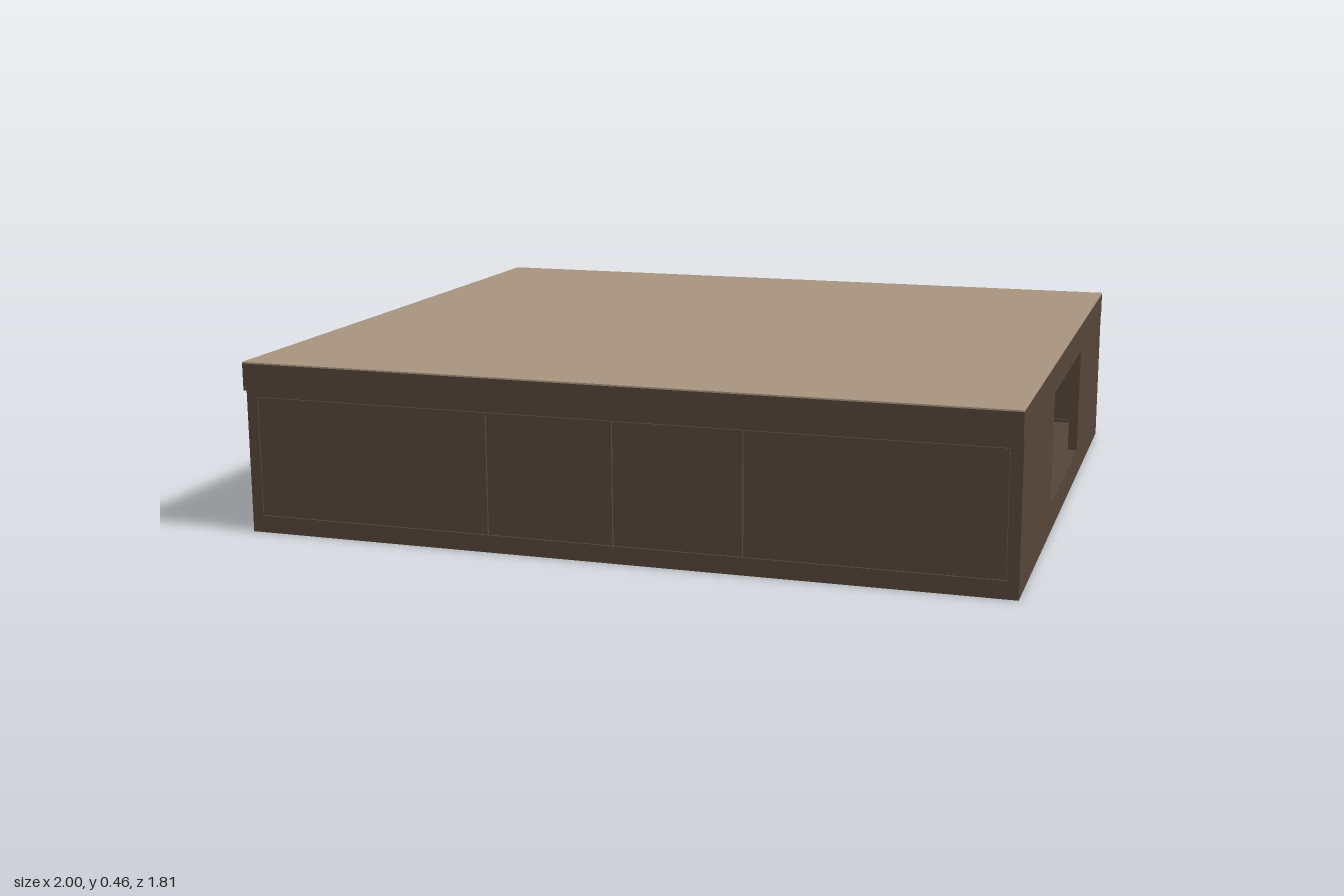
import * as THREE from 'three';

const wood = new THREE.MeshStandardMaterial({ color: 0x554538 });
wood.name = 'darkWood';
const topWood = new THREE.MeshStandardMaterial({ color: 0xa8947e });
topWood.name = 'paleTop';

const WALL = 0.026;      // board thickness
const BODY_H = 0.38;     // height of the carcass
const BODY_Z = 0.892;    // half depth of the carcass
const TOP_Z = 0.907;     // half depth of the tabletop

function box(name, w, h, d, x, y, z, material = wood) {
  const mesh = new THREE.Mesh(new THREE.BoxGeometry(w, h, d), material);
  mesh.name = name;
  mesh.position.set(x, y, z);
  return mesh;
}

function rectangle(path, x0, y0, x1, y1) {
  path.moveTo(x0, y0);
  path.lineTo(x1, y0);
  path.lineTo(x1, y1);
  path.lineTo(x0, y1);
  path.closePath();
  return path;
}

// Upright board with rectangular openings, centred on its thickness
function board(name, halfWidth, openings) {
  const shape = rectangle(new THREE.Shape(), -halfWidth, 0, halfWidth, BODY_H);
  for (const o of openings) shape.holes.push(rectangle(new THREE.Path(), ...o));
  const geometry = new THREE.ExtrudeGeometry(shape, { depth: WALL, bevelEnabled: false });
  geometry.translate(0, 0, -WALL / 2);
  const mesh = new THREE.Mesh(geometry, wood);
  mesh.name = name;
  return mesh;
}

export function createModel() {
  const model = new THREE.Group();
  model.name = 'lowTable';

  // Tabletop slab with its pale upper face
  model.add(box('tabletop', 2, 0.071, TOP_Z * 2, 0, BODY_H + 0.0355, 0));
  model.add(box('tabletopSurface', 2, 0.004, TOP_Z * 2, 0, BODY_H + 0.073, 0, topWood));

  // Long sides, each with four flush fronts separated by fine seams
  const fronts = [[-0.97, -0.333], [-0.333, 0], [0, 0.333], [0.333, 0.97]];
  const y0 = 0.045, y1 = 0.362, gap = 0.0015;
  for (const side of [1, -1]) {
    const z = side * (BODY_Z - WALL / 2);
    const group = new THREE.Group();
    group.name = side > 0 ? 'frontSide' : 'backSide';
    group.add(board('sideFrame', 1, [[-0.97, y0, 0.97, y1]]));
    for (const [a, b] of fronts) {
      group.add(box('drawerFront', b - a - gap * 2, y1 - y0 - gap * 2, WALL - 0.002,
        (a + b) / 2, (y0 + y1) / 2, 0));
    }
    group.position.z = z;
    model.add(group);
  }

  // Short ends, each with a wide opening into the hollow body
  for (const side of [1, -1]) {
    const end = board(side > 0 ? 'leftEnd' : 'rightEnd', BODY_Z - WALL, [[-0.31, 0.08, 0.31, 0.374]]);
    end.rotation.y = Math.PI / 2;
    end.position.x = side * (1 - WALL / 2);
    model.add(end);
  }

  // Raised floor inside the body
  model.add(box('floorPanel', 2 - WALL * 2, 0.012, (BODY_Z - WALL) * 2, 0, 0.03, 0));

  return model;
}
